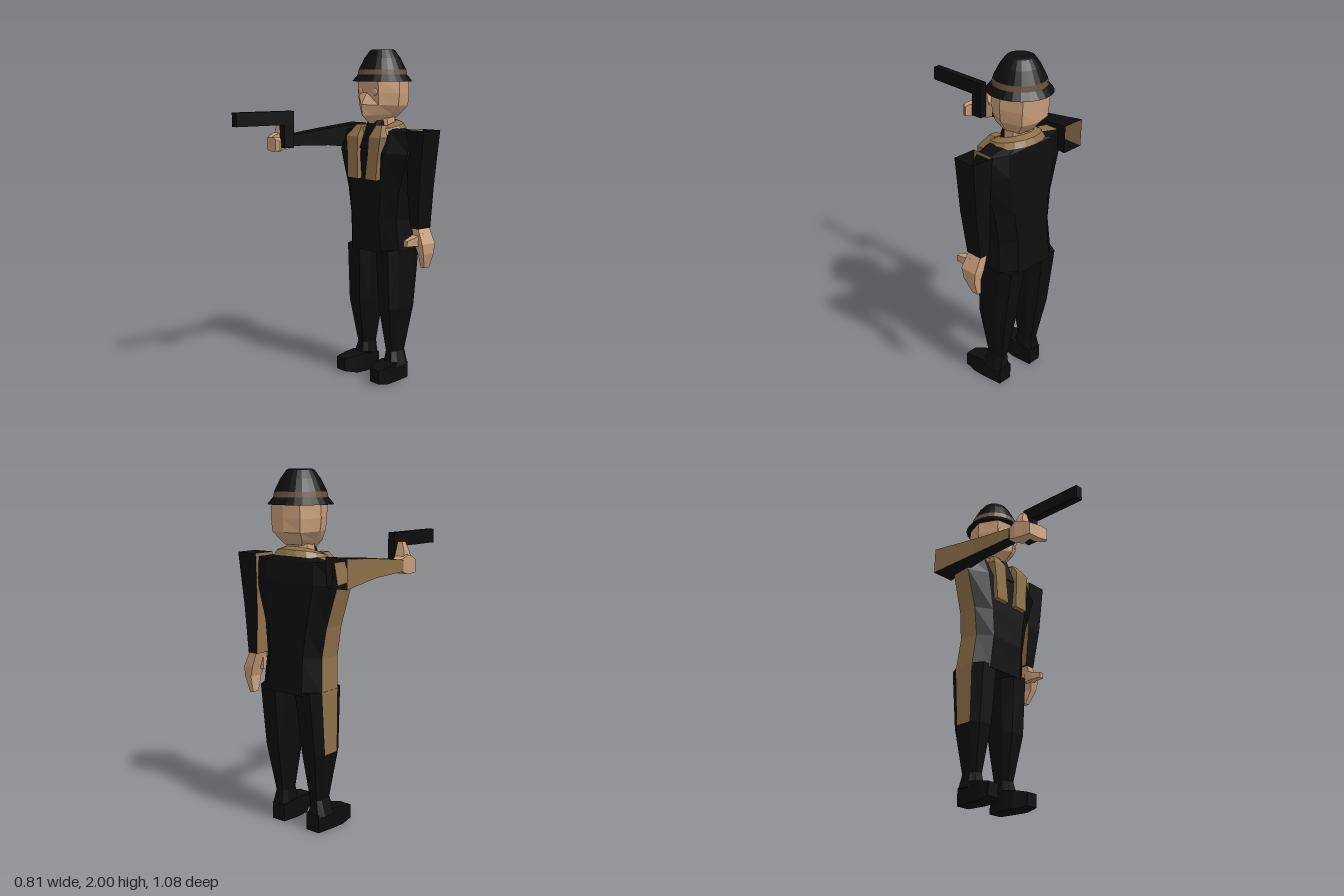
import * as THREE from 'three';

const mat = (name, color) => {
  const m = new THREE.MeshStandardMaterial({ color, flatShading: true, side: THREE.DoubleSide });
  m.name = name;
  return m;
};

// Cross-section helpers: rectangles across y or z, and a chamfered octagon across y
const rectY = (y, x0, x1, z0, z1) => [[x1, y, z0], [x1, y, z1], [x0, y, z1], [x0, y, z0]];
const rectZ = (z, x0, x1, y0, y1) => [[x1, y0, z], [x1, y1, z], [x0, y1, z], [x0, y0, z]];
const octY = (y, x0, x1, z0, z1) => {
  const cx = (x0 + x1) / 2, cz = (z0 + z1) / 2, hx = (x1 - x0) / 2, hz = (z1 - z0) / 2;
  return [[1, -0.5], [1, 0.5], [0.6, 1], [-0.6, 1], [-1, 0.5], [-1, -0.5], [-0.6, -1], [0.6, -1]]
    .map(([u, v]) => [cx + u * hx, y, cz + v * hz]);
};
const mirrorRings = (rings, s) => rings.map(r => r.map(([x, y, z]) => [s * x, y, z]));

// Skin a list of rings; the side strip numbered "accent" takes the second material
function loft(name, rings, materials, { accent = -1, capStart = true, capEnd = true } = {}) {
  const lists = [[], []];
  const n = rings[0].length;
  for (let i = 0; i + 1 < rings.length; i++) {
    for (let j = 0; j < n; j++) {
      const k = (j + 1) % n, [p, q] = [rings[i], rings[i + 1]];
      lists[j === accent ? 1 : 0].push([p[j], q[j], q[k]], [p[j], q[k], p[k]]);
    }
  }
  const last = rings[rings.length - 1];
  for (let j = 1; j + 1 < n; j++) {
    if (capStart) lists[0].push([rings[0][0], rings[0][j], rings[0][j + 1]]);
    if (capEnd) lists[0].push([last[0], last[j + 1], last[j]]);
  }
  // Turn the faces outward by the sign of the enclosed volume
  const c = new THREE.Vector3();
  rings.flat().forEach(p => c.add(new THREE.Vector3(...p)));
  c.divideScalar(rings.length * n);
  let volume = 0;
  lists.flat().forEach(t => {
    const [a, b, d] = t.map(p => new THREE.Vector3(...p).sub(c));
    volume += a.dot(b.cross(d));
  });
  if (volume < 0) lists.flat().forEach(t => t.reverse());
  const geo = new THREE.BufferGeometry();
  geo.setAttribute('position', new THREE.Float32BufferAttribute(lists.flat(3), 3));
  geo.addGroup(0, lists[0].length * 3, 0);
  if (lists[1].length) geo.addGroup(lists[0].length * 3, lists[1].length * 3, 1);
  geo.computeVertexNormals();
  const mesh = new THREE.Mesh(geo, lists[1].length ? materials : materials[0]);
  mesh.name = name;
  return mesh;
}

export function createModel() {
  const model = new THREE.Group();
  model.name = 'figure';
  const black = mat('blackCloth', 0x0d0d0d);
  const brown = mat('brownCloth', 0x8d7048);
  const band = mat('darkBrownBand', 0x66513a);
  const skin = mat('skin', 0xc69c78);
  const cloth = [black, brown];
  const add = (...args) => model.add(loft(...args));

  // Coat body with a brown right flank
  add('coat', [
    octY(0.80, -0.215, 0.215, -0.51, -0.24),
    octY(1.0, -0.2, 0.2, -0.49, -0.225),
    octY(1.17, -0.225, 0.225, -0.475, -0.225),
    octY(1.4, -0.295, 0.295, -0.465, -0.225),
    octY(1.52, -0.275, 0.275, -0.45, -0.28),
    octY(1.55, -0.1, 0.1, -0.43, -0.29),
  ], cloth, { accent: 4 });

  // Legs and shoes
  for (const s of [-1, 1]) {
    const side = s < 0 ? 'right' : 'left';
    add(side + 'Leg', mirrorRings([
      octY(0.82, 0.04, 0.215, -0.505, -0.245),
      octY(0.46, 0.058, 0.212, -0.465, -0.262),
    ], s), cloth, { accent: s < 0 ? 0 : -1 });
    add(side + 'Shin', mirrorRings([
      octY(0.46, 0.058, 0.212, -0.465, -0.262),
      octY(0.18, 0.09, 0.168, -0.42, -0.31),
      octY(0.09, 0.08, 0.195, -0.43, -0.29),
    ], s), [black]);
    add(side + 'Shoe', mirrorRings([
      rectZ(-0.43, 0.085, 0.175, 0, 0.1),
      rectZ(-0.31, 0.072, 0.192, 0, 0.12),
      rectZ(-0.24, 0.08, 0.197, 0, 0.11),
      rectZ(-0.168, 0.118, 0.195, 0.015, 0.095),
    ], s), [black]);
  }

  // Hanging left sleeve, open at the shoulder, with a brown inner side
  add('leftSleeve', [
    rectY(1.54, 0.27, 0.408, -0.435, -0.3),
    rectY(1.22, 0.275, 0.375, -0.425, -0.305),
    rectY(0.965, 0.28, 0.347, -0.43, -0.33),
  ], cloth, { accent: 2, capStart: false });
  add('leftHand', [
    rectY(0.975, 0.288, 0.34, -0.425, -0.335),
    rectY(0.88, 0.32, 0.387, -0.43, -0.325),
    rectY(0.82, 0.338, 0.385, -0.425, -0.34),
    rectY(0.73, 0.328, 0.355, -0.418, -0.375),
  ], [skin]);
  add('leftThumb', [
    rectZ(-0.36, 0.3, 0.36, 0.86, 0.94),
    rectZ(-0.3, 0.3, 0.345, 0.868, 0.915),
    rectZ(-0.245, 0.315, 0.345, 0.87, 0.905),
  ], [skin]);

  // Raised right sleeve, open at the back, with a brown outer side
  add('rightSleeve', [
    rectZ(-0.465, -0.405, -0.265, 1.395, 1.555),
    rectZ(-0.17, -0.367, -0.28, 1.425, 1.53),
    rectZ(0.105, -0.352, -0.282, 1.435, 1.5),
  ], cloth, { accent: 2, capStart: false });
  add('rightPalm', [
    rectZ(0.095, -0.345, -0.288, 1.435, 1.5),
    rectZ(0.15, -0.352, -0.272, 1.415, 1.525),
    rectZ(0.2, -0.342, -0.285, 1.415, 1.515),
    rectZ(0.25, -0.335, -0.3, 1.415, 1.49),
  ], [skin]);
  add('rightThumb', [
    rectY(1.5, -0.34, -0.275, 0.125, 0.2),
    rectY(1.55, -0.33, -0.275, 0.14, 0.19),
    rectY(1.595, -0.31, -0.28, 0.15, 0.18),
  ], [skin]);
  const finger = (x, y0, y1, z0, z1) => [[x, y0, z0], [x, y1, z0], [x, y1, z1], [x, y0, z1]];
  add('rightFingers', [
    finger(-0.332, 1.415, 1.49, 0.205, 0.25),
    finger(-0.26, 1.41, 1.495, 0.215, 0.265),
    finger(-0.215, 1.415, 1.485, 0.24, 0.277),
    finger(-0.2, 1.42, 1.475, 0.245, 0.258),
  ], [skin]);

  // Pistol
  const pistol = new THREE.Group();
  pistol.name = 'pistol';
  pistol.add(loft('barrel', [
    rectZ(0.14, -0.265, -0.22, 1.565, 1.645), rectZ(0.54, -0.265, -0.22, 1.565, 1.645)], [black]));
  pistol.add(loft('grip', [
    rectY(1.57, -0.265, -0.22, 0.14, 0.21), rectY(1.43, -0.265, -0.22, 0.14, 0.21)], [black]));
  model.add(pistol);

  // Neck and the dark shirt collar in front of it
  add('neck', [octY(1.5, -0.08, 0.08, -0.43, -0.3), octY(1.66, -0.07, 0.07, -0.42, -0.3)], [skin]);
  add('shirtCollar', [octY(1.42, -0.08, 0.08, -0.36, -0.222), octY(1.585, -0.06, 0.06, -0.36, -0.28)], [black]);

  // Angular head: front centre, cheek, side, back corner, back centre
  const headRing = (yf, yb, zf, xc, zc, xs, zs, xb, zb, zm) => {
    const half = [[xc, zc], [xs, zs], [xb, zb]];
    const flat = [[0, zf], ...half, [0, zm], ...half.slice().reverse().map(([x, z]) => [-x, z])];
    return flat.map(([x, z]) => [x, yf + (yb - yf) * (z - zf) / (zm - zf), z]);
  };
  add('head', [
    headRing(1.83, 1.83, -0.225, 0.09, -0.24, 0.143, -0.36, 0.1, -0.48, -0.5),
    headRing(1.75, 1.74, -0.235, 0.09, -0.245, 0.147, -0.36, 0.105, -0.48, -0.5),
    headRing(1.68, 1.67, -0.19, 0.085, -0.25, 0.138, -0.36, 0.1, -0.475, -0.5),
    headRing(1.615, 1.63, -0.2, 0.05, -0.24, 0.095, -0.35, 0.08, -0.44, -0.47),
    headRing(1.565, 1.605, -0.26, 0.018, -0.27, 0.06, -0.34, 0.06, -0.42, -0.44),
  ], [skin]);
  for (const s of [-1, 1]) {
    const eye = new THREE.Mesh(new THREE.SphereGeometry(0.022, 8, 6), skin);
    eye.name = s < 0 ? 'rightEye' : 'leftEye';
    eye.scale.z = 0.4;
    eye.position.set(s * 0.062, 1.755, -0.241);
    model.add(eye);
  }

  // Scarf: a sloping collar round the neck and two hanging ends
  const collar = [];
  for (let i = 0; i <= 14; i++) {
    const a = THREE.MathUtils.degToRad(28 + i * 304 / 14);
    const lift = 0.025 * (1 - Math.cos(a));
    const at = (rx, rz, y) => [Math.sin(a) * rx, y + lift, -0.345 + Math.cos(a) * rz];
    collar.push([at(0.085, 0.08, 1.5), at(0.1, 0.09, 1.545), at(0.15, 0.125, 1.53), at(0.175, 0.142, 1.495)]);
  }
  add('scarfCollar', collar, [brown]);
  for (const s of [-1, 1]) {
    add(s < 0 ? 'rightScarfEnd' : 'leftScarfEnd', mirrorRings([
      rectY(1.56, 0.06, 0.11, -0.3, -0.255),
      rectY(1.49, 0.05, 0.15, -0.26, -0.205),
      rectY(1.38, 0.045, 0.135, -0.235, -0.2),
      rectY(1.24, 0.032, 0.128, -0.23, -0.193),
    ], s), [brown]);
  }

  // Hat
  const hat = new THREE.Group();
  hat.name = 'hat';
  const turned = (name, points, material) => {
    const geo = new THREE.LatheGeometry(points.map(p => new THREE.Vector2(...p)), 24);
    const mesh = new THREE.Mesh(geo, material);
    mesh.name = name;
    hat.add(mesh);
  };
  turned('brim', [[0, 1.825], [0.14, 1.825], [0.18, 1.815], [0.148, 1.853]], black);
  turned('hatBand', [[0.148, 1.853], [0.142, 1.883]], band);
  turned('crown', [[0.142, 1.883], [0.108, 1.95], [0.075, 1.995], [0.065, 2], [0, 2]], black);
  hat.position.set(-0.003, 0, -0.36);
  model.add(hat);

  return model;
}
